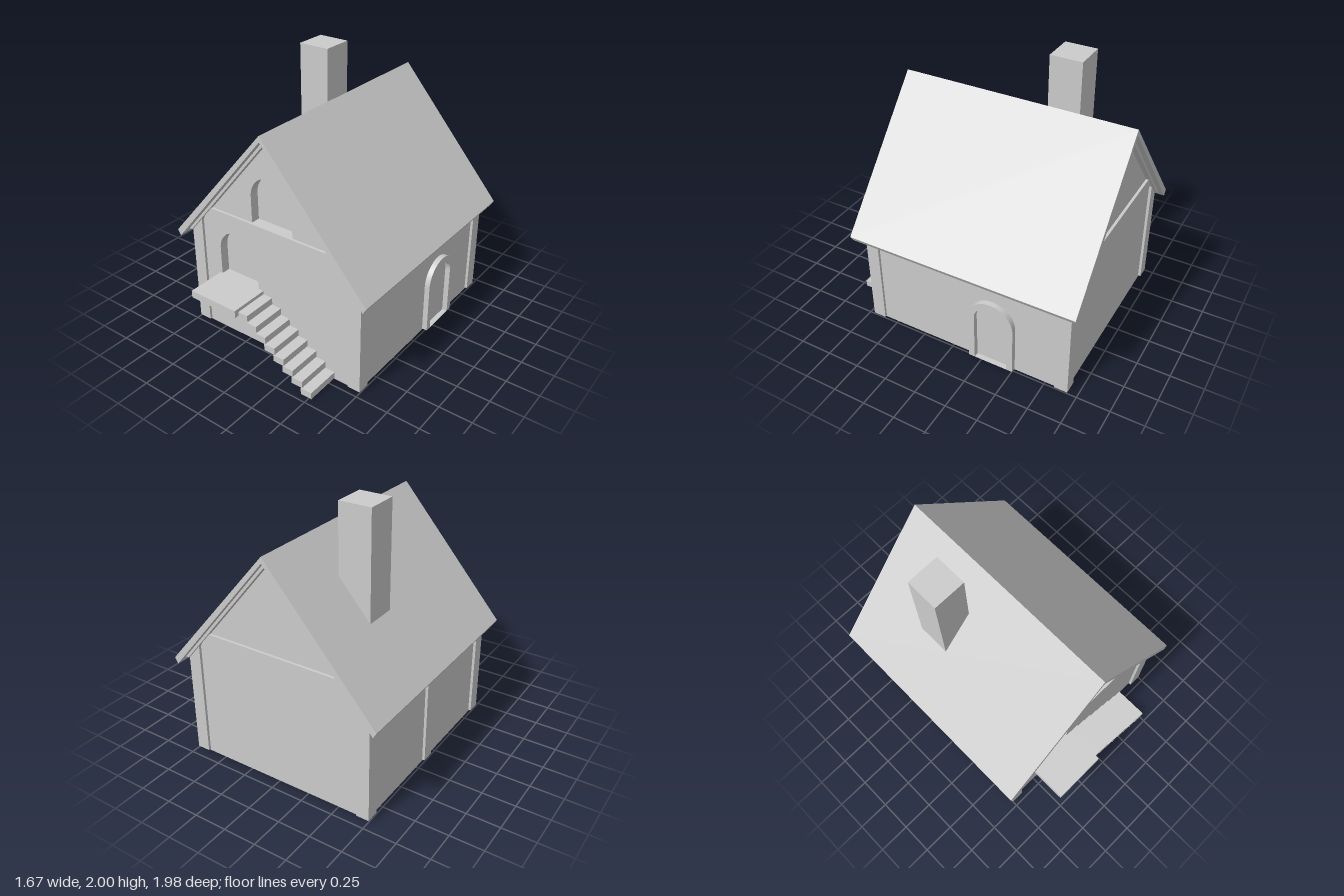
import * as THREE from 'three';

const material = new THREE.MeshStandardMaterial({ color: 0xcccccc, flatShading: true });

export function createModel() {
  const house = new THREE.Group();
  house.name = 'house';

  const add = (name, geometry) => {
    const mesh = new THREE.Mesh(geometry, material);
    mesh.name = name;
    house.add(mesh);
    return mesh;
  };
  // Box given by its limits on each axis
  const box = (name, x0, x1, y0, y1, z0, z1) =>
    add(name, new THREE.BoxGeometry(x1 - x0, y1 - y0, z1 - z0)
      .translate((x0 + x1) / 2, (y0 + y1) / 2, (z0 + z1) / 2));
  const polygon = (points) => new THREE.Shape(points.map(([x, y]) => new THREE.Vector2(x, y)));
  // Shape in x and y, extruded from z0 to z1
  const slab = (shape, z0, z1) =>
    new THREE.ExtrudeGeometry(shape, { depth: z1 - z0, bevelEnabled: false, curveSegments: 16 })
      .translate(0, 0, z0);
  // Round-topped opening outline
  const arch = (Type, cx, y0, radius, top) => {
    const path = new Type();
    path.moveTo(cx - radius, y0);
    path.lineTo(cx + radius, y0);
    path.lineTo(cx + radius, top - radius);
    path.absarc(cx, top - radius, radius, 0, Math.PI, false);
    path.lineTo(cx - radius, y0);
    return path;
  };

  // House body, with a front wall that holds two arched recesses
  const outline = [[-0.73, 0], [0.73, 0], [0.73, 0.825], [0, 1.69], [-0.73, 0.825]];
  add('body', slab(polygon(outline), -0.91, 0.62));
  const front = polygon(outline);
  front.holes.push(
    arch(THREE.Path, -0.325, 0.48, 0.175, 0.87),
    arch(THREE.Path, 0, 1.02, 0.177, 1.4));
  add('frontWall', slab(front, 0.62, 0.69));

  // Roof and chimney
  add('roof', slab(polygon([
    [0, 1.745], [-0.835, 0.78], [-0.81, 0.737], [0, 1.7], [0.81, 0.737], [0.835, 0.78],
  ]), -0.99, 0.78));
  box('chimney', -0.472, -0.225, 1.1, 2, -0.487, -0.24);

  // Timber on both gable ends: rafters, cross beam and corner posts
  for (const [z0, z1, p0, p1] of [[0.68, 0.73, 0.61, 0.71], [-0.95, -0.9, -0.93, -0.83]]) {
    add('gableRafters', slab(polygon([
      [0, 1.7], [-0.765, 0.79], [-0.74, 0.79], [0, 1.67], [0.74, 0.79], [0.765, 0.79],
    ]), z0, z1));
    add('crossBeam', slab(polygon([
      [-0.64, 0.93], [0.64, 0.93], [0.565, 1.02], [-0.565, 1.02],
    ]), Math.max(z0, -0.93), Math.min(z1, 0.71)));
    for (const s of [-1, 1]) {
      const points = [[0.65, 0.01], [0.75, 0.01], [0.75, 0.808], [0.65, 0.925]];
      add('cornerPost', slab(polygon(points.map(([x, y]) => [s * x, y])), p0, p1));
    }
  }
  box('sidePost', -0.75, -0.7, 0.01, 0.808, -0.16, -0.06);

  // Arched frame around the side door
  const frame = arch(THREE.Shape, 0.33, 0.01, 0.177, 0.565);
  frame.holes.push(arch(THREE.Path, 0.33, 0.0101, 0.13, 0.52));
  add('sideDoorFrame', slab(frame, 0.72, 0.77).rotateY(Math.PI / 2));

  // Landing and floating steps
  box('landing', -0.518, -0.105, 0.425, 0.482, 0.68, 0.99);
  for (let i = 0; i < 8; i++) {
    const x = -0.115 + i * 0.0785;
    const y = 0.403 - i * 0.0565;
    box('step', x, x + 0.09, y, y + 0.052, 0.68, 0.955);
  }
  return house;
}
